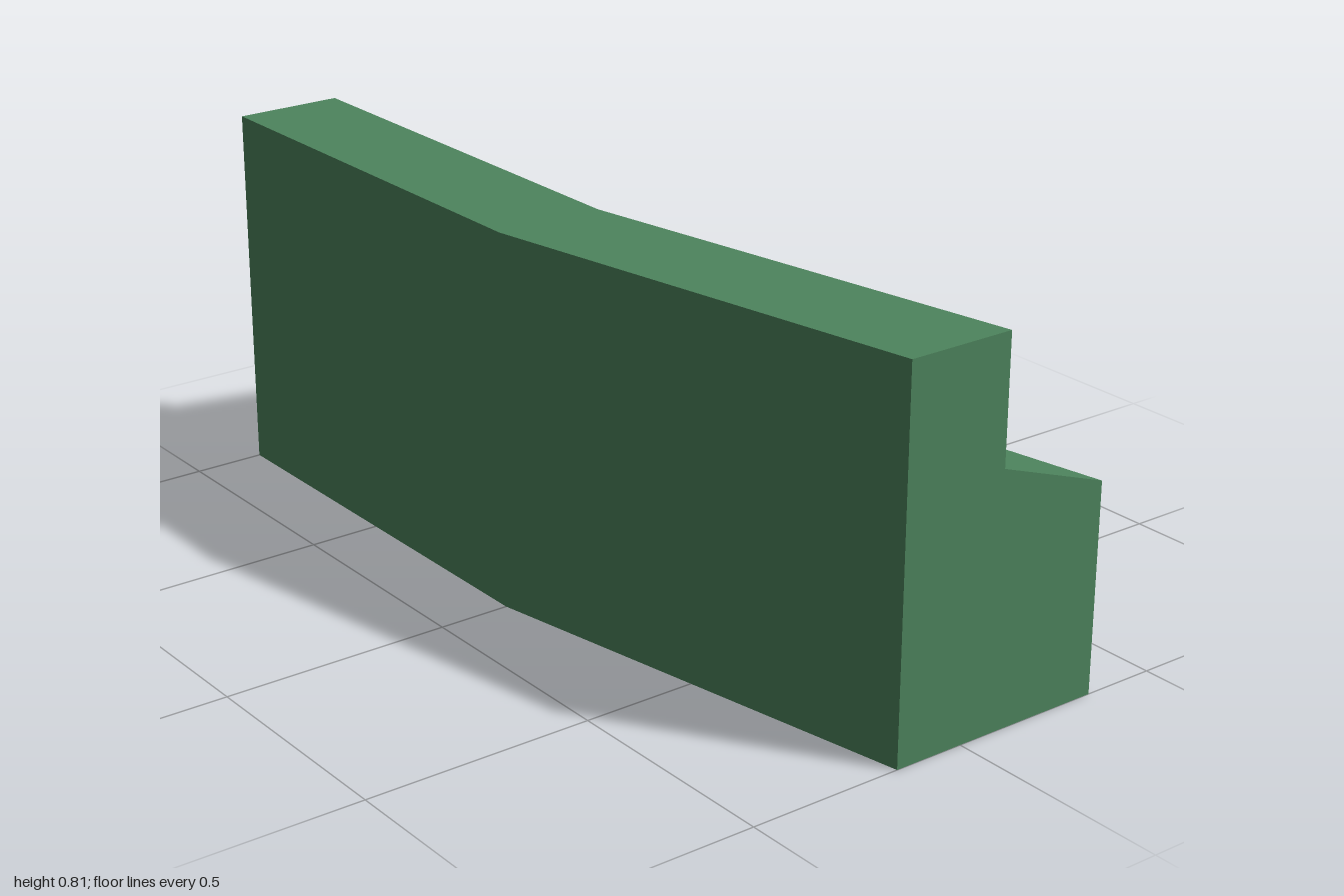
import * as THREE from 'three';

export function createModel() {
  const group = new THREE.Group();
  const green = new THREE.MeshStandardMaterial({ color: 0x4d845d });
  green.name = 'green';

  // Cross-section: tall back wall with a lower sloping ledge
  const profile = new THREE.Shape([
    [-0.342, 0], [0.155, 0], [0.155, 0.452], [-0.102, 0.543], [-0.102, 0.814], [-0.342, 0.814],
  ].map(([x, y]) => new THREE.Vector2(x, y)));

  // Straight run in two segments, front half bent towards +x
  const geometry = new THREE.ExtrudeGeometry(profile, { depth: 2, steps: 2, bevelEnabled: false });
  geometry.translate(0, 0, -1);
  const p = geometry.attributes.position;
  for (let i = 0; i < p.count; i++) {
    p.setX(i, p.getX(i) + Math.max(0, p.getZ(i)) * 0.184);
  }
  geometry.computeVertexNormals();

  const block = new THREE.Mesh(geometry, green);
  block.name = 'bentSteppedBlock';
  group.add(block);
  return group;
}
